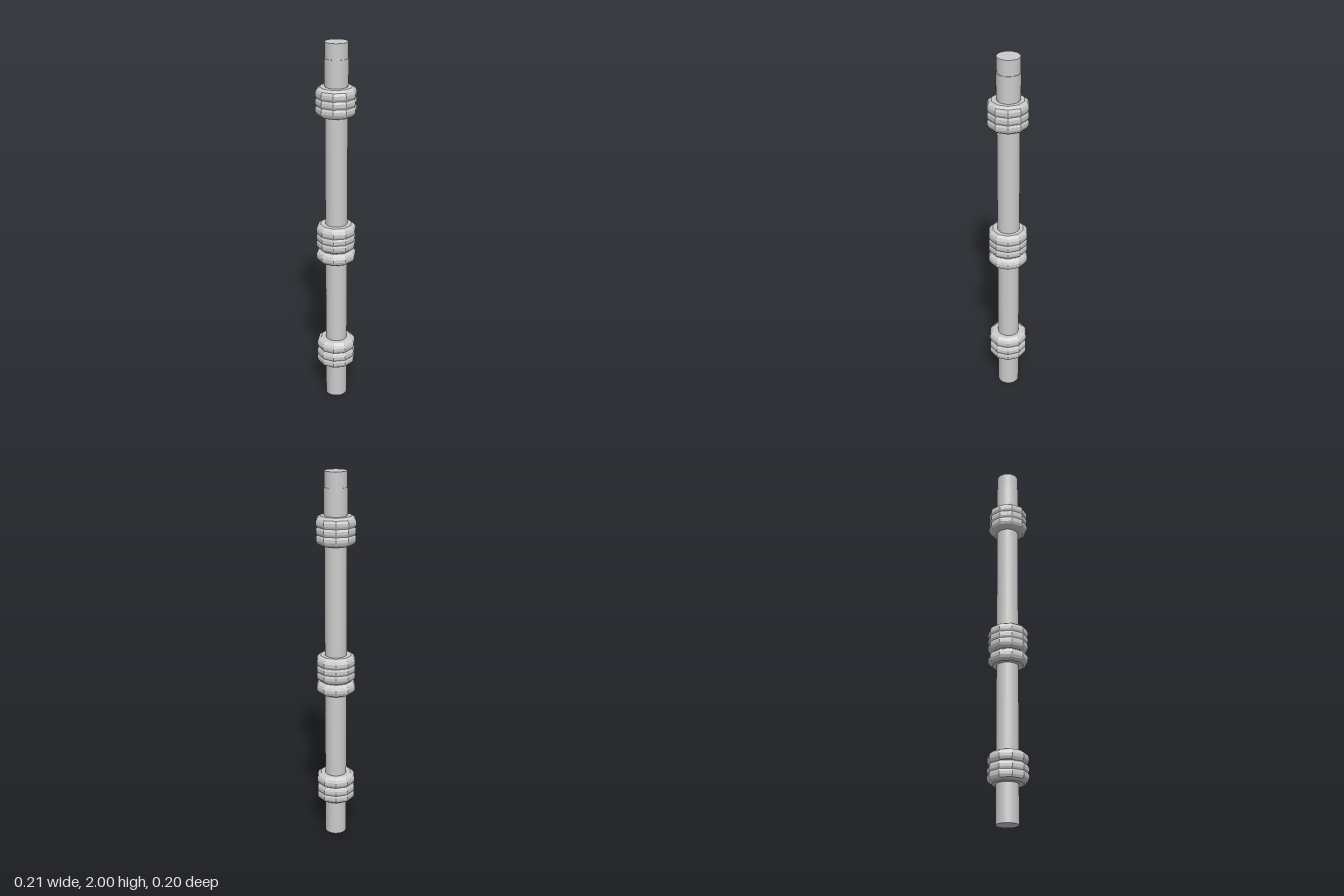
import * as THREE from 'three';

export function createModel() {
  const group = new THREE.Group();
  const smooth = new THREE.MeshStandardMaterial({ color: 0xcccccc });
  const faceted = new THREE.MeshStandardMaterial({ color: 0xcccccc, flatShading: true });
  const rodZ = -0.003;

  function cylinder(name, radius, bottom, top) {
    const mesh = new THREE.Mesh(new THREE.CylinderGeometry(radius, radius, top - bottom, 32), smooth);
    mesh.name = name;
    mesh.position.set(0, (bottom + top) / 2, rodZ);
    group.add(mesh);
  }

  // Long rod with a slightly wider sleeve near its top
  cylinder('rod', 0.058, 0, 2);
  cylinder('sleeve', 0.061, 1.785, 1.92);

  // Ten-sided grip ring with bevelled rims
  const profile = [
    [0.05, -0.034], [0.083, -0.034], [0.1, -0.022], [0.106, -0.008],
    [0.106, 0.008], [0.1, 0.022], [0.083, 0.034], [0.05, 0.034],
  ].map(([r, y]) => new THREE.Vector2(r, y));
  const ringGeometry = new THREE.LatheGeometry(profile, 10, Math.PI / 2);

  // Overlapping rings stacked into three grips
  const grips = {
    lowerGrip: [0.235, 0.272, 0.325],
    middleGrip: [0.865, 0.935, 0.972, 1.01],
    upperGrip: [1.665, 1.705, 1.745],
  };
  for (const [name, heights] of Object.entries(grips)) {
    const grip = new THREE.Group();
    grip.name = name;
    for (const y of heights) {
      const ring = new THREE.Mesh(ringGeometry, faceted);
      ring.name = 'gripRing';
      ring.position.y = y;
      grip.add(ring);
    }
    group.add(grip);
  }
  return group;
}
